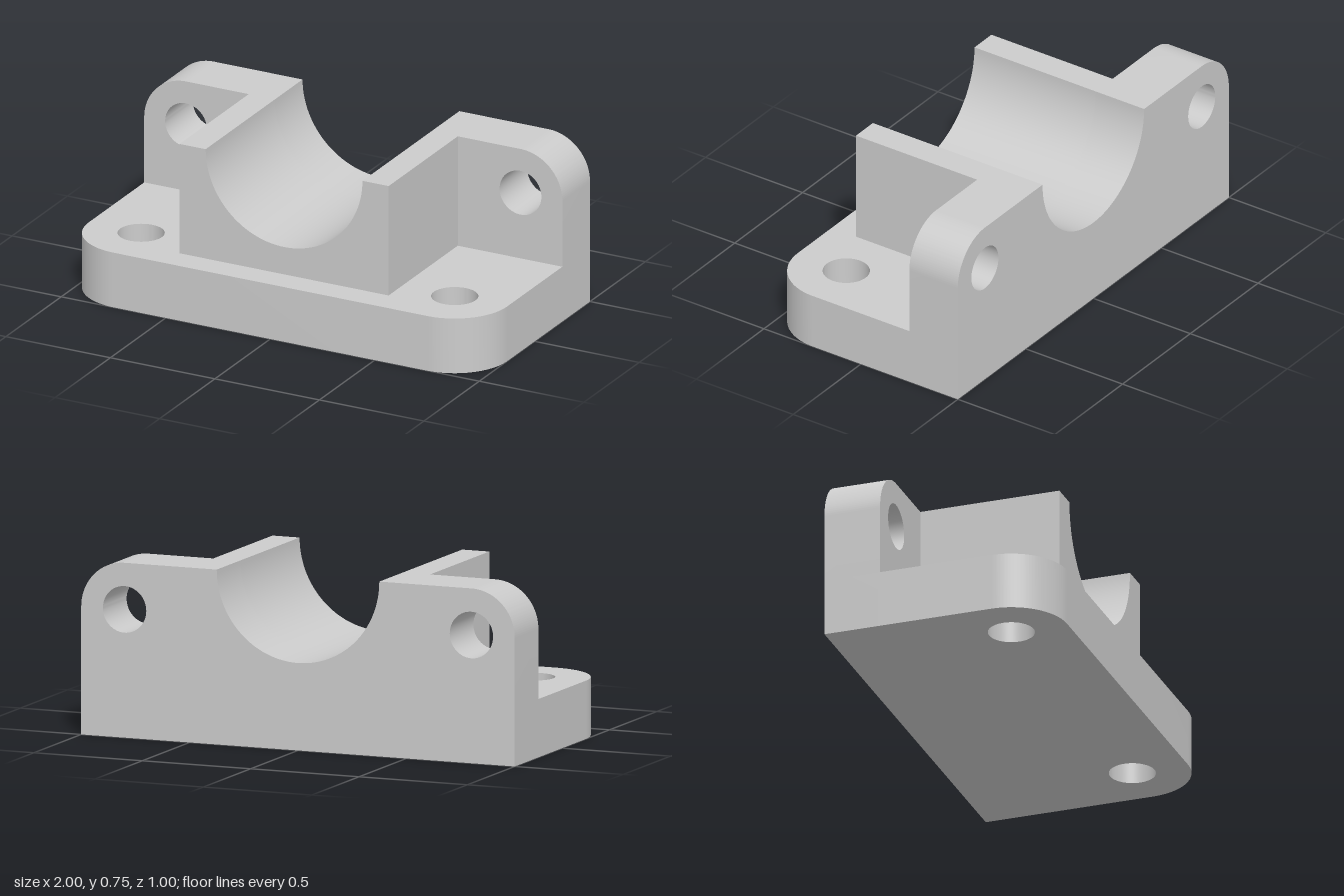
import * as THREE from 'three';
import { toCreasedNormals } from 'three/addons/utils/BufferGeometryUtils.js';

const BASE_HEIGHT = 0.25, TOP = 0.75, BORE_RADIUS = 0.375, HOLE_RADIUS = 0.1;

// Straight extrusion with smooth curves and sharp edges
function extrude(shape, depth) {
  const geometry = new THREE.ExtrudeGeometry(shape, { depth, bevelEnabled: false, curveSegments: 32 });
  return toCreasedNormals(geometry, Math.PI / 6);
}

// Pair of round holes mirrored across x = 0
function addHoles(shape, x, y) {
  for (const side of [-1, 1]) {
    shape.holes.push(new THREE.Path().absarc(side * x, y, HOLE_RADIUS, 0, Math.PI * 2, true));
  }
}

// Upright outline with a half-round bearing seat cut into its top edge
function seatOutline(halfWidth, cornerRadius) {
  const s = new THREE.Shape();
  const inner = halfWidth - cornerRadius, shoulder = TOP - cornerRadius;
  s.moveTo(-halfWidth, BASE_HEIGHT);
  s.lineTo(halfWidth, BASE_HEIGHT);
  s.lineTo(halfWidth, shoulder);
  if (cornerRadius) s.absarc(inner, shoulder, cornerRadius, 0, Math.PI / 2, false);
  s.lineTo(BORE_RADIUS, TOP);
  s.absarc(0, TOP, BORE_RADIUS, 0, Math.PI, true);
  s.lineTo(-inner, TOP);
  if (cornerRadius) s.absarc(-inner, shoulder, cornerRadius, Math.PI / 2, Math.PI, false);
  s.closePath();
  return s;
}

export function createModel() {
  const group = new THREE.Group();
  group.name = 'bearingBracket';
  const material = new THREE.MeshStandardMaterial({ color: 0xcccccc });
  const add = (name, geometry) => {
    const mesh = new THREE.Mesh(geometry, material);
    mesh.name = name;
    group.add(mesh);
  };

  // Base plate: drawn flat with its front at -y, rounded front corners, two bolt holes
  const base = new THREE.Shape();
  base.moveTo(-1, 0.5);
  base.lineTo(-1, -0.25);
  base.absarc(-0.75, -0.25, 0.25, Math.PI, Math.PI * 1.5, false);
  base.lineTo(0.75, -0.5);
  base.absarc(0.75, -0.25, 0.25, -Math.PI / 2, 0, false);
  base.lineTo(1, 0.5);
  base.closePath();
  addHoles(base, 0.75, -0.25);
  add('basePlate', extrude(base, BASE_HEIGHT).rotateX(-Math.PI / 2));

  // Back flange with rounded ears and two bolt holes
  const flange = seatOutline(1, 0.2);
  addHoles(flange, 0.8, 0.55);
  add('backFlange', extrude(flange, 0.25).translate(0, 0, -0.5));

  // Bearing cradle in front of the flange
  add('bearingCradle', extrude(seatOutline(0.5, 0), 0.625).translate(0, 0, -0.25));

  return group;
}
